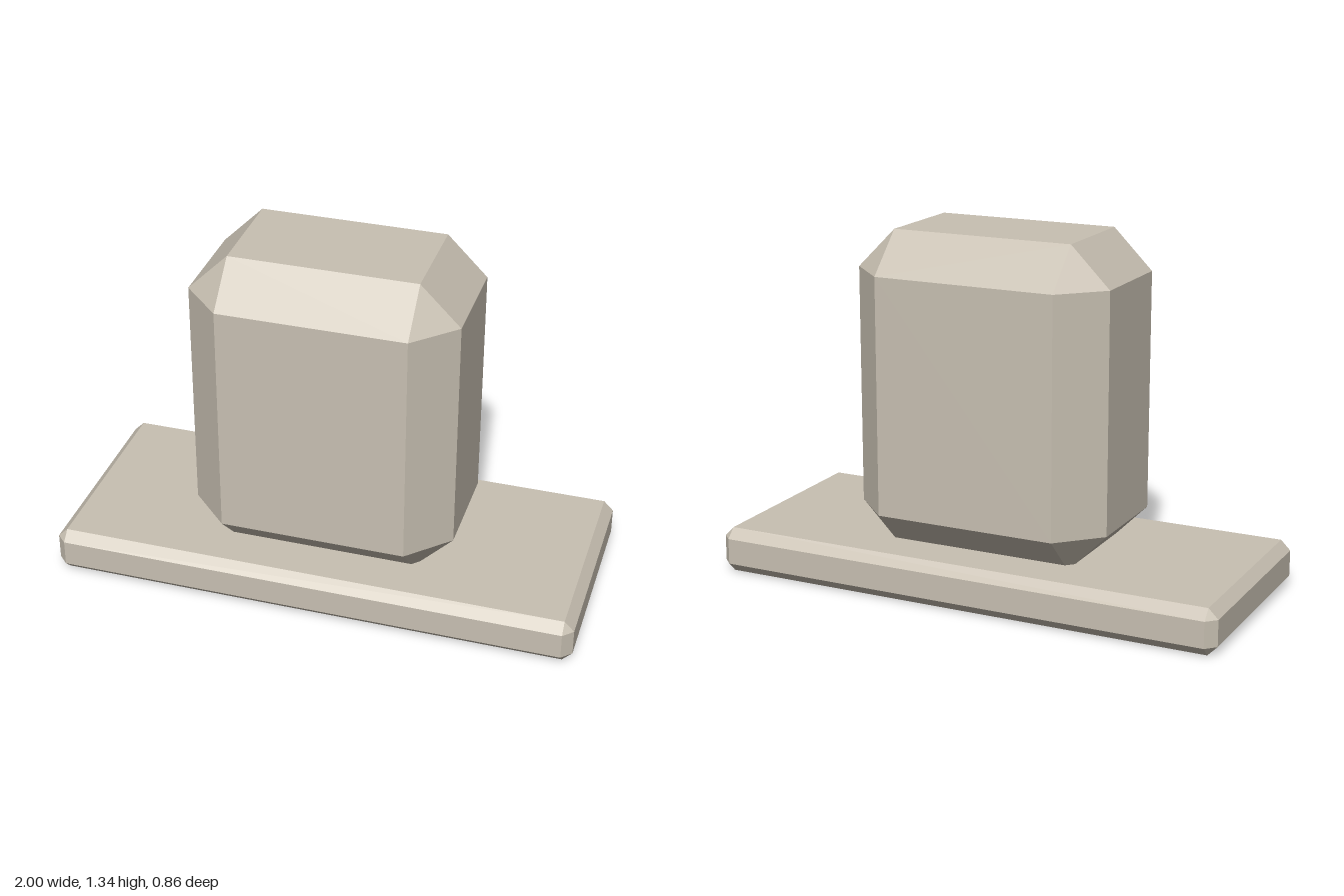
import * as THREE from 'three';
import { ConvexGeometry } from 'three/addons/geometries/ConvexGeometry.js';

// Box with every edge chamfered by c: each corner becomes three points
function chamferedBox(width, height, depth, c) {
  const points = [];
  const [x, y, z] = [width / 2, height / 2, depth / 2];
  for (const sx of [-1, 1]) for (const sy of [-1, 1]) for (const sz of [-1, 1]) {
    points.push(
      new THREE.Vector3(sx * x, sy * (y - c), sz * (z - c)),
      new THREE.Vector3(sx * (x - c), sy * y, sz * (z - c)),
      new THREE.Vector3(sx * (x - c), sy * (y - c), sz * z),
    );
  }
  return new ConvexGeometry(points);
}

export function createModel() {
  const model = new THREE.Group();
  model.name = 'chamferedBlockOnPlinth';

  const stone = new THREE.MeshStandardMaterial({ color: 0xc8c0b2 });
  stone.name = 'warm grey stone';

  const addBlock = (name, width, bottom, top, depth, chamfer) => {
    const mesh = new THREE.Mesh(chamferedBox(width, top - bottom, depth, chamfer), stone);
    mesh.name = name;
    mesh.position.y = (bottom + top) / 2;
    model.add(mesh);
  };

  // Wide, thin plinth
  addBlock('plinth', 2, 0, 0.173, 0.855, 0.037);
  // Upright block, its underside sunk slightly into the plinth
  addBlock('block', 1, 0.145, 1.343, 0.686, 0.15);

  return model;
}
